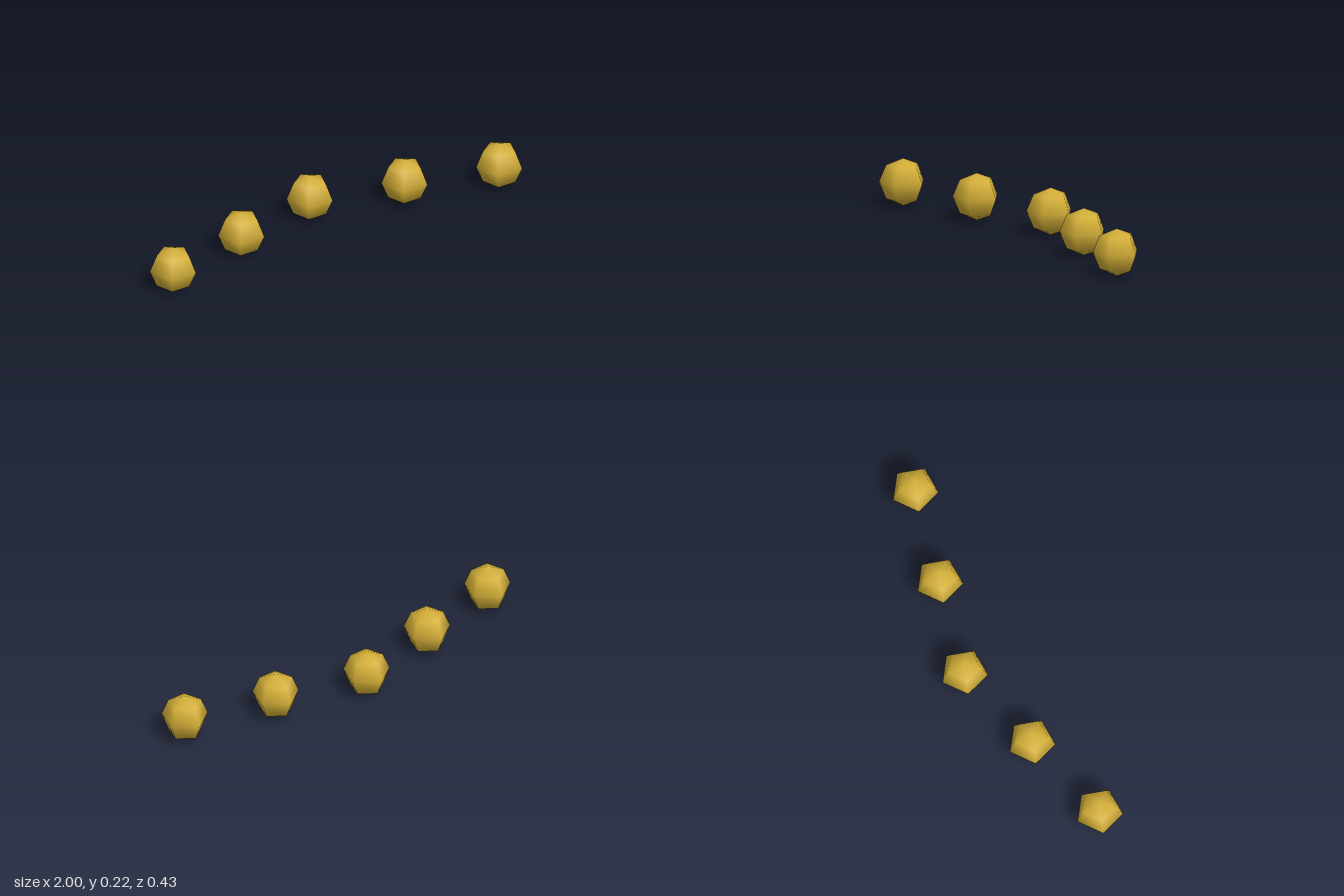
import * as THREE from 'three';

// Five low-poly, smooth-shaded beads set out in a V
export function createModel() {
  const group = new THREE.Group();
  group.name = 'beadRow';

  const gold = new THREE.MeshStandardMaterial({ color: 0xd4af37 });
  gold.name = 'gold';

  // Bead: five sides, four rings, one corner pointing back
  const r = 0.1117;
  const bead = new THREE.SphereGeometry(r, 5, 4, Math.PI * 1.5);

  // The middle bead is furthest back; each step outward comes forward one radius
  for (let i = -2; i <= 2; i++) {
    const mesh = new THREE.Mesh(bead, gold);
    mesh.name = `bead${i + 3}`;
    mesh.position.set(i * 4 * r, r, -0.101 + Math.abs(i) * r);
    group.add(mesh);
  }
  return group;
}
